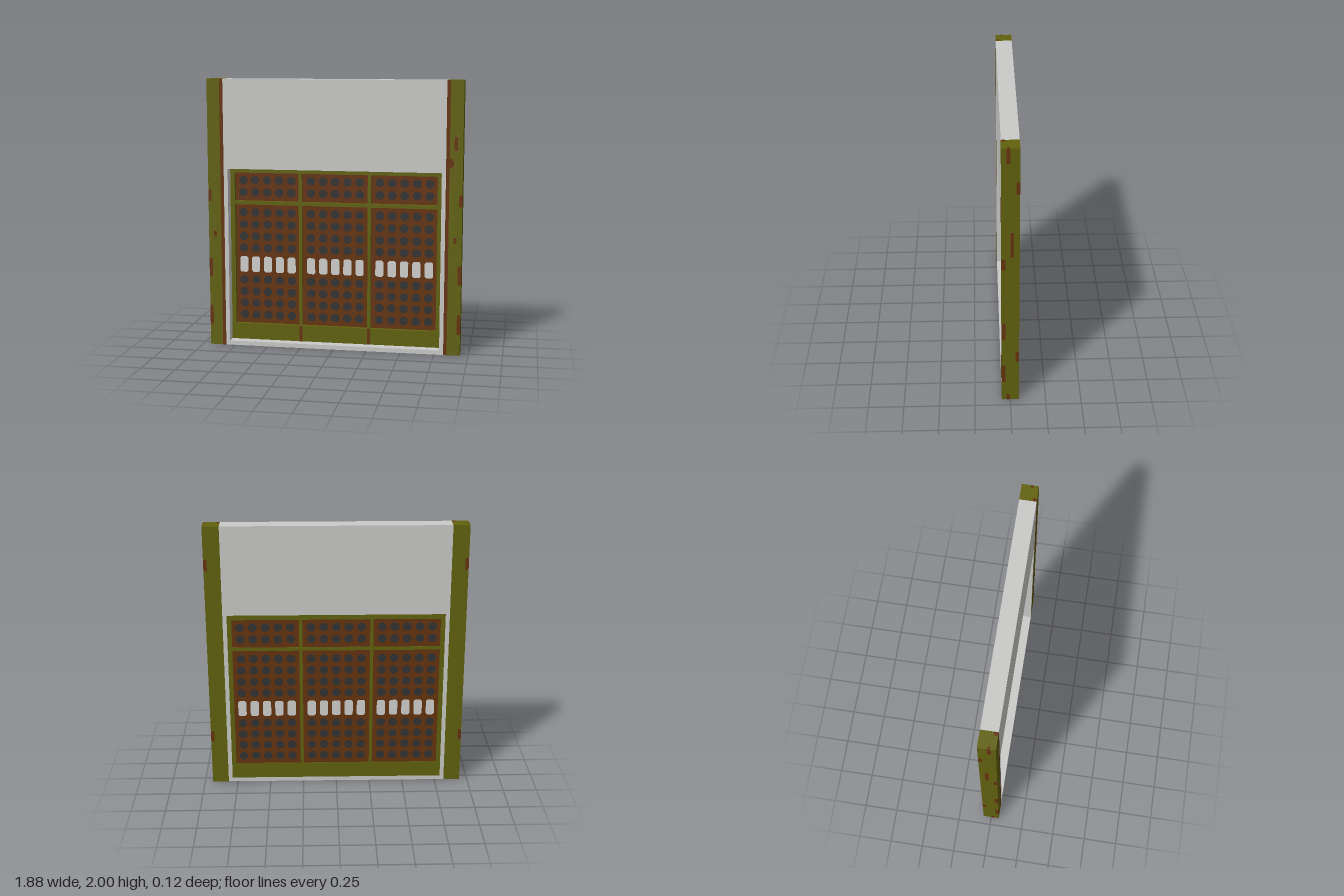
import * as THREE from 'three';

const mat = (name, color) => {
  const m = new THREE.MeshStandardMaterial({ color });
  m.name = name;
  return m;
};

export function createModel() {
  const model = new THREE.Group();
  model.name = 'wallWithDoor';
  const green = mat('olive paint', 0x62620f);
  const rust = mat('rust brown', 0x66340f);
  const plaster = mat('pale plaster', 0xcacac8);
  const glass = mat('window white', 0xd2d2d0);
  const dark = mat('dark stud', 0x333333);

  const add = (name, geo, material, parent = model) => {
    const mesh = new THREE.Mesh(geo, material);
    mesh.name = name;
    parent.add(mesh);
    return mesh;
  };
  const box = (name, x0, x1, y0, y1, z0, z1, material, parent) =>
    add(name, new THREE.BoxGeometry(x1 - x0, y1 - y0, z1 - z0)
      .translate((x0 + x1) / 2, (y0 + y1) / 2, (z0 + z1) / 2), material, parent);
  const rect = (Type, x0, x1, y0, y1) => new Type([[x0, y0], [x1, y0], [x1, y1], [x0, y1]]
    .map(p => new THREE.Vector2(...p)));
  // Slab with rectangular openings, from z0 to z1
  const slab = (outer, holes, z0, z1) => {
    const s = rect(THREE.Shape, ...outer);
    s.holes = holes.map(h => rect(THREE.Path, ...h));
    return new THREE.ExtrudeGeometry(s, { depth: z1 - z0, bevelEnabled: false }).translate(0, 0, z0);
  };
  // Flat rectangle with cut corners, centred on the origin
  const chamfered = (w, h, c) => {
    const a = w / 2, b = h / 2;
    return new THREE.ShapeGeometry(new THREE.Shape([
      [-a + c, -b], [a - c, -b], [a, -b + c], [a, b - c],
      [a - c, b], [-a + c, b], [-a, b - c], [-a, -b + c],
    ].map(p => new THREE.Vector2(...p))));
  };

  // Wall with the door opening
  add('wall', slab([-0.82, 0.82, 0, 2], [[-0.79, 0.79, 0.032, 1.34]], -0.06, 0.06), plaster);

  // Door frame with six panel openings
  const door = new THREE.Group();
  door.name = 'door';
  model.add(door);
  const columns = [[-0.757, -0.27], [-0.246, 0.246], [0.27, 0.757]];
  const rows = [[0.154, 1.066], [1.093, 1.305]];
  const openings = columns.flatMap(c => rows.map(r => [...c, ...r]));
  add('doorFrame', slab([-0.79, 0.79, 0.032, 1.34], openings, -0.06, -0.012), green, door);
  openings.forEach(o => box('doorPanel', ...o, -0.058, -0.042, rust, door));
  for (const x of [-0.258, 0.258])
    box('railStripe', x - 0.011, x + 0.011, 0.032, 0.152, -0.013, -0.01, rust, door);

  // Studs and small windows on both faces of every panel
  const stud = chamfered(0.062, 0.062, 0.018);
  const pane = chamfered(0.062, 0.122, 0.012);
  const studRows = [1.247, 1.156, 1.003, 0.912, 0.82, 0.732, 0.488, 0.397, 0.308, 0.217];
  const place = (name, geo, material, x, y) => {
    add(name, geo, material, door).position.set(x, y, -0.0405);
    const back = add(name + 'Back', geo, material, door);
    back.position.set(x, y, -0.0595);
    back.rotation.y = Math.PI;
  };
  for (const cx of [-0.515, 0, 0.515])
    for (let i = -2; i <= 2; i++) {
      const x = cx + i * 0.0915;
      studRows.forEach(y => place('stud', stud, dark, x, y));
      place('window', pane, glass, x, 0.607);
    }

  // Posts with rust patches, mirrored
  for (const s of [-1, 1]) {
    const post = new THREE.Group();
    post.name = s > 0 ? 'leftPost' : 'rightPost';
    model.add(post);
    box('postBody', Math.min(s * 0.82, s * 0.94), Math.max(s * 0.82, s * 0.94), 0, 2, -0.06, 0.06, green, post);
    const patch = (face, u, y, w, h, c = 0.008) => {
      const m = add('rustPatch', chamfered(w, h, c), rust, post);
      if (face === 'front') m.position.set(s * u, y, 0.0612);
      if (face === 'back') { m.position.set(s * u, y, -0.0612); m.rotation.y = Math.PI; }
      if (face === 'side') { m.position.set(s * 0.9412, y, u); m.rotation.y = s * Math.PI / 2; }
      if (face === 'top') { m.position.set(s * u, 2.0008, y); m.rotation.x = -Math.PI / 2; }
      if (face === 'bottom') { m.position.set(s * u, -0.0008, y); m.rotation.x = Math.PI / 2; }
    };
    // Long strip on the inner front edge
    patch('front', 0.8325, 1, 0.025, 2, 0);
    for (const end of ['top', 'bottom']) {
      patch(end, 0.8325, 0.045, 0.025, 0.03, 0.006);
      patch(end, 0.93, 0.015, 0.02, 0.02, 0.005);
    }
    // Patches that wrap the outer corners
    for (const [y, h] of [[1.14, 0.09], [0.595, 0.145], [0.23, 0.15]]) {
      patch('front', 0.9275, y, 0.025, h);
      patch('side', 0.0475, y, 0.025, h);
    }
    for (const y of [1.715, 0.38]) {
      patch('back', 0.9275, y, 0.025, 0.09);
      patch('side', -0.0475, y, 0.025, 0.09);
    }
    // Loose spots
    patch('front', 0.892, 0.853, 0.024, 0.045);
    patch('side', 0.015, 1.945, 0.025, 0.11, 0.006);
    patch('side', -0.01, 1.295, 0.024, 0.19, 0.004);
    patch('side', 0.015, 0.025, 0.025, 0.05, 0.006);
    if (s > 0) {
      patch('front', 0.89, 1.55, 0.024, 0.1, 0.005);
      patch('front', 0.854, 1.412, 0.044, 0.07, 0.02);
    }
  }
  return model;
}
